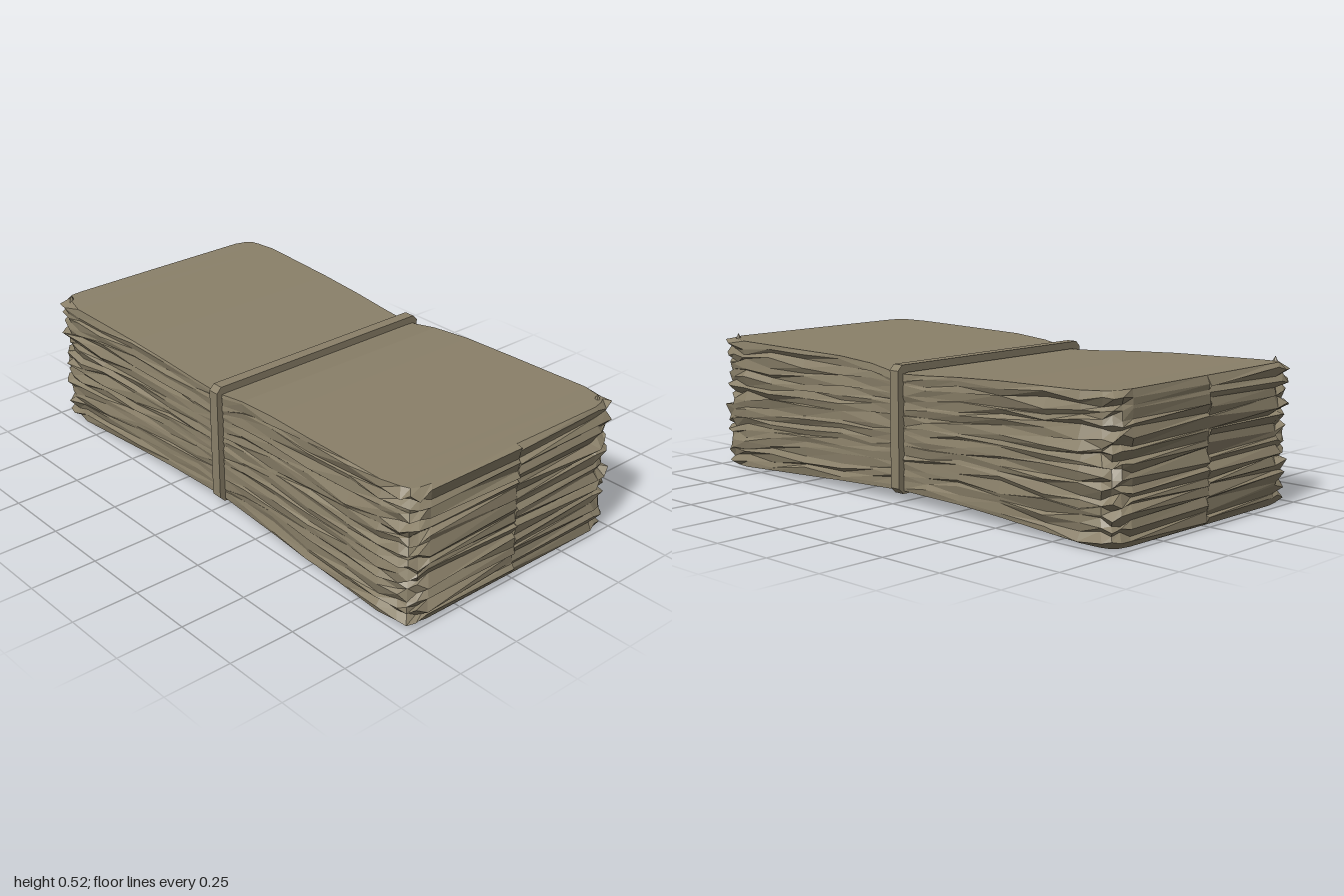
import * as THREE from 'three';

const paper = new THREE.MeshStandardMaterial({ color: 0x8a8069, side: THREE.DoubleSide });
paper.name = 'agedPaper';

// Small seeded random, -1..1
let seed = 11;
const rand = () => {
  seed = (seed * 16807) % 2147483647;
  return (seed / 2147483647) * 2 - 1;
};

// Piecewise linear curve through [x, value] pairs
const along = (pairs) => (x) => {
  let k = 1;
  while (k < pairs.length - 1 && x > pairs[k][0]) k++;
  const [a, b] = [pairs[k - 1], pairs[k]];
  const t = Math.min(1, Math.max(0, (x - a[0]) / (b[0] - a[0])));
  return a[1] + (b[1] - a[1]) * t;
};
const topY = along([[-1, 0.515], [-0.9, 0.508], [-0.4, 0.494], [-0.15, 0.475], [0, 0.467], [0.05, 0.475], [0.2, 0.502], [0.9, 0.51], [1, 0.513]]);
const bottomY = along([[-1, 0.012], [-0.9, 0.018], [-0.35, 0.05], [0, 0.052], [0.3, 0.042], [1, 0.008]]);
const halfDepth = along([[-1, 0.485], [-0.9, 0.485], [-0.4, 0.47], [0, 0.455], [0.4, 0.472], [0.9, 0.485], [1, 0.485]]);

// Half outline of a sheet (front), as [x, z fraction]; the back mirrors it
const halfLine = [[-0.985, 0], [-0.985, 0.82], [-0.978, 0.91], [-0.962, 0.965], [-0.93, 0.99], [-0.85, 1], [-0.7, 1], [-0.5, 1], [-0.3, 1], [-0.14, 1], [-0.03, 1]];
const front = [...halfLine, ...halfLine.map(([x, z]) => [-x, z]).reverse()];
const n = front.length;
const outline = [...front, ...front.map(([x, z]) => [x, -z]).reverse()];

// Stack of crumpled sheets: rings of the outline, alternately pushed out and tucked in
function stackGeometry() {
  const rows = 25, count = outline.length, rings = [];
  for (let r = 0; r < rows; r++) {
    const edge = r === 0 || r === rows - 1;
    const tuck = edge ? 0.01 : (r % 2 ? 0 : 0.016 + 0.008 * rand());
    const ring = outline.map(([x, zf]) => {
      const ax = Math.abs(x);
      const corner = ax > 0.92 && Math.abs(zf) > 0.8;
      const loose = corner ? 1 : 0.2 + 0.5 * ax;
      const inset = (edge && ax > 0.9 ? 0.02 : tuck * loose) + (edge ? 0.002 : 0.011) * loose * rand();
      const v = edge ? r / (rows - 1) : (r + 0.72 * rand()) / (rows - 1);
      const sx = ax > 0.9 ? Math.sign(x) * (0.012 - inset) : 0;
      const px = x + sx;
      const pz = zf * (halfDepth(x) + 0.004 - inset) - 0.006;
      return [px, bottomY(x) + (topY(x) - bottomY(x)) * v, pz];
    });
    rings.push(ring);
  }
  const pos = [];
  const quad = (a, b, c, d) => pos.push(...a, ...b, ...c, ...a, ...c, ...d);
  for (let r = 0; r < rows - 1; r++) {
    for (let i = 0; i < count; i++) {
      const j = (i + 1) % count;
      quad(rings[r][i], rings[r][j], rings[r + 1][j], rings[r + 1][i]);
    }
  }
  // Top and bottom sheets, strip by strip
  const lo = rings[0], hi = rings[rows - 1];
  for (let i = 0; i < n - 1; i++) {
    const b = count - 1 - i;
    quad(hi[i], hi[i + 1], hi[b - 1], hi[b]);
    quad(lo[b], lo[b - 1], lo[i + 1], lo[i]);
  }
  const g = new THREE.BufferGeometry();
  g.setAttribute('position', new THREE.Float32BufferAttribute(pos, 3));
  g.computeVertexNormals();
  return g;
}

// Rectangle with cut corners
function cutRect(path, z0, z1, y0, y1, c) {
  const pts = [[z0 + c, y0], [z1 - c, y0], [z1, y0 + c], [z1, y1 - c], [z1 - c, y1], [z0 + c, y1], [z0, y1 - c], [z0, y0 + c]];
  path.setFromPoints(pts.map(([x, y]) => new THREE.Vector2(x, y)));
  path.closePath();
  return path;
}

// Band wrapped round the waist of the stack
function bandGeometry() {
  const shape = cutRect(new THREE.Shape(), -0.475, 0.488, 0.042, 0.5, 0.02);
  shape.holes.push(cutRect(new THREE.Path(), -0.445, 0.458, 0.06, 0.472, 0.01));
  const g = new THREE.ExtrudeGeometry(shape, { depth: 0.042, bevelEnabled: false });
  g.translate(0, 0, -0.021);
  g.rotateY(Math.PI / 2);
  return g;
}

// Small dog-eared corner rising from the top sheet
function cornerFold(sx, sz) {
  const g = new THREE.ConeGeometry(0.03, 0.035, 5).toNonIndexed();
  g.scale(1, 1, 0.6);
  g.computeVertexNormals();
  const m = new THREE.Mesh(g, paper);
  m.name = 'cornerFold';
  m.position.set(sx * 0.94, 0.512, sz * 0.448);
  m.rotation.y = sx * sz * 0.7;
  return m;
}

export function createModel() {
  const group = new THREE.Group();
  group.name = 'paperBundle';
  const stack = new THREE.Mesh(stackGeometry(), paper);
  stack.name = 'sheetStack';
  const band = new THREE.Mesh(bandGeometry(), paper);
  band.name = 'band';
  group.add(stack, band);
  for (const [sx, sz] of [[-1, 1], [1, -1]]) group.add(cornerFold(sx, sz));
  return group;
}
